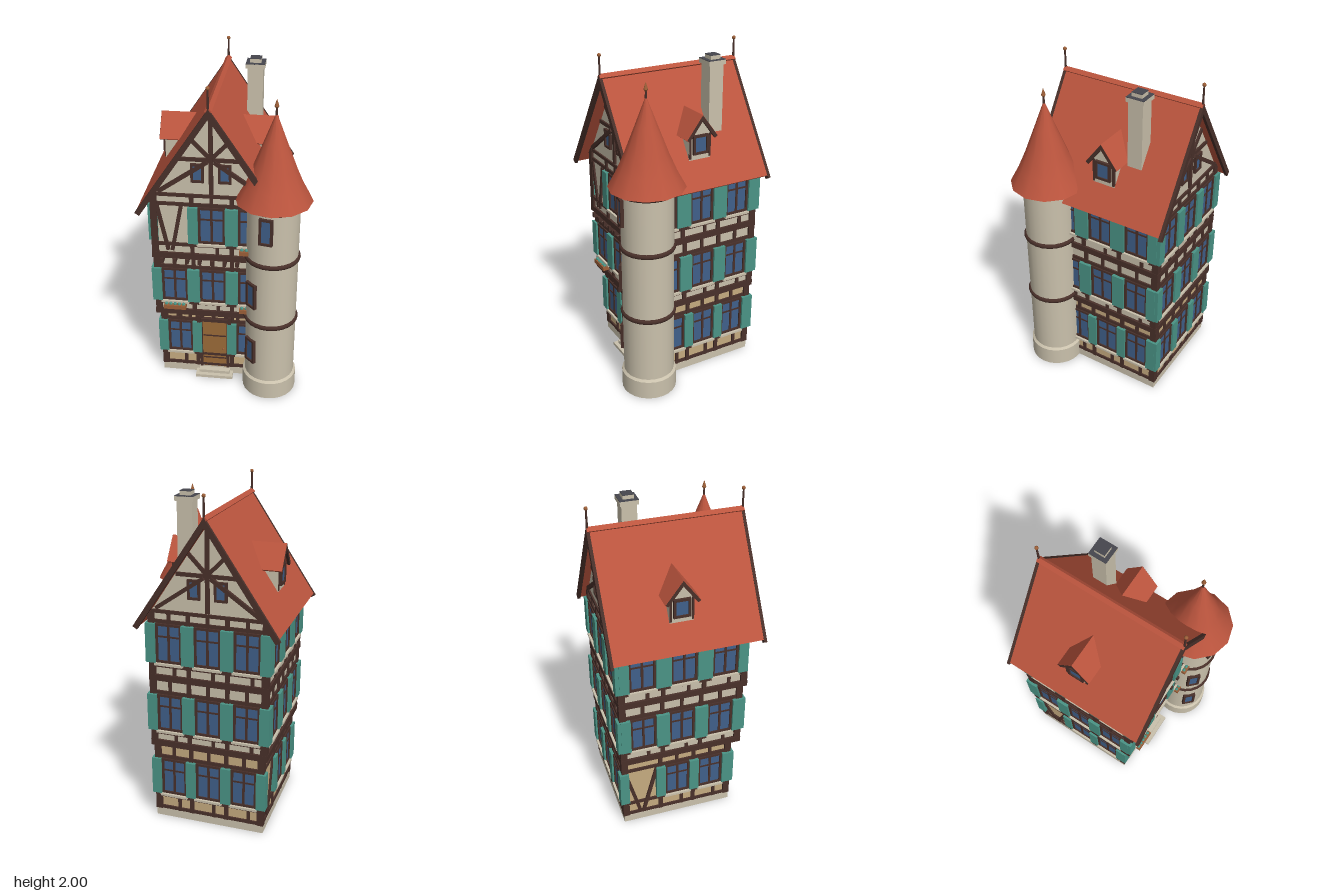
import * as THREE from 'three';

const mat = (name, color) => Object.assign(new THREE.MeshStandardMaterial({ color }), { name });
const M = {
  roof: mat('roof tile red', 0xbc553e), plaster: mat('cream plaster', 0xc9c0ab),
  stone: mat('stone', 0xcac1ac), tan: mat('tan plaster', 0xc6ab80),
  timber: mat('dark timber', 0x49302a), shutter: mat('shutter green', 0x4a9486),
  glass: mat('window blue', 0x40608a), door: mat('door brown', 0x9a6a38),
  slate: mat('slate', 0x46464e), copper: mat('copper', 0x9c5f38),
};
M.stone.side = THREE.DoubleSide; // the tower is open underneath

function add(g, name, geo, m, x = 0, y = 0, z = 0) {
  const mesh = new THREE.Mesh(geo, m);
  mesh.name = name;
  mesh.position.set(x, y, z);
  g.add(mesh);
  return mesh;
}
const box = (g, name, m, w, h, d, x, y, z) => add(g, name, new THREE.BoxGeometry(w, h, d), m, x, y, z);
const cyl = (g, name, m, r0, r1, h, n, y, open = false) =>
  add(g, name, new THREE.CylinderGeometry(r1, r0, h, n, 1, open), m, 0, y, 0);
function group(parent, name, rotY = 0, x = 0, y = 0, z = 0) {
  const g = new THREE.Group();
  g.name = name;
  g.rotation.y = rotY;
  g.position.set(x, y, z);
  parent.add(g);
  return g;
}
// slanted timber between two points of a wall
function brace(g, x1, y1, x2, y2, z) {
  const b = box(g, 'brace', M.timber, Math.hypot(x2 - x1, y2 - y1), 0.022, 0.022, (x1 + x2) / 2, (y1 + y2) / 2, z);
  b.rotation.z = Math.atan2(y2 - y1, x2 - x1);
}
// polygon extruded from z0 to z1
function prism(g, name, m, pts, z0, z1) {
  const s = new THREE.Shape(pts.map(p => new THREE.Vector2(...p)));
  add(g, name, new THREE.ExtrudeGeometry(s, { depth: z1 - z0, bevelEnabled: false }), m, 0, 0, z0);
}
// pitched roof shell: top height, half width, slope, thickness
function pitched(g, name, m, top, half, slope, t, z0, z1) {
  const L = Math.hypot(1, slope), y = top - slope * half;
  const ix = half - t * slope / L, iy = y - t / L;
  prism(g, name, m, [[0, top], [-half, y], [-ix, iy], [0, top - t * L], [ix, iy], [half, y]], z0, z1);
}
// framed window, lying on the plane at z
function windowUnit(parent, x, y0, y1, w, z, bars = true) {
  const g = group(parent, 'window', 0, x, (y0 + y1) / 2, z), h = y1 - y0, f = 0.014;
  box(g, 'glass', M.glass, w - f, h - f, 0.016, 0, 0, 0);
  for (const s of [-1, 1]) {
    box(g, 'frameSide', M.timber, f, h, 0.032, s * (w - f) / 2, 0, 0);
    box(g, 'frameRail', M.timber, w, f, 0.032, 0, s * (h - f) / 2, 0);
  }
  if (!bars) return;
  box(g, 'mullion', M.timber, 0.014, h, 0.026, 0, 0, 0);
  box(g, 'transom', M.timber, w, 0.01, 0.024, 0, h * 0.17, 0);
}

function door(parent, z, y0) {
  const g = group(parent, 'door', 0, 0, y0, z);
  box(g, 'doorLeaf', M.door, 0.155, 0.36, 0.02, 0, 0.18, 0);
  for (const s of [-1, 1]) {
    box(g, 'doorPost', M.timber, 0.016, 0.375, 0.04, s * 0.084, 0.187, 0);
    box(g, 'postFoot', M.timber, 0.024, 0.02, 0.05, s * 0.084, 0.1, 0);
    box(g, 'canopyBracket', M.timber, 0.022, 0.05, 0.06, s * 0.095, 0.385, 0.01);
  }
  box(g, 'lintel', M.timber, 0.2, 0.022, 0.045, 0, 0.368, 0);
  for (const y of [0.07, 0.245]) box(g, 'hinge', M.timber, 0.145, 0.009, 0.026, 0, y, 0);
  add(g, 'knob', new THREE.SphereGeometry(0.007, 8, 6), M.copper, 0.055, 0.145, 0.014);
}

// one storey of one wall, seen from outside with the wall plane at z = d;
// a number among the bays is the half width of a V of braces
function facade(parent, lv, half, d, pitch, bays, boxes = []) {
  const g = group(parent, 'facade');
  const rails = [lv.w0 - 0.02, lv.w1 + 0.012];
  if (lv.sole) rails.push(lv.y0 + 0.012);
  if (lv.plate) rails.push(lv.y1 - 0.01);
  for (const y of rails) box(g, 'rail', M.timber, half * 2, 0.02, 0.02, 0, y, d);
  const h = lv.y1 - lv.y0, mid = (lv.y0 + lv.y1) / 2;
  for (const s of [-1, 1]) {
    box(g, 'cornerPost', M.timber, 0.04, h, 0.026, s * (half - 0.007), mid, d);
    box(g, 'stud', M.timber, 0.024, h, 0.022, s * pitch / 2, mid, d);
  }
  bays.forEach((type, i) => {
    const x = (i - 1) * pitch;
    if (typeof type === 'number') {
      for (const s of [-1, 1]) brace(g, x - 0.015 + s * type, lv.w1, x - 0.015 + s * 0.012, lv.y0 + 0.02, d);
      return;
    }
    if (type === 'door') return door(g, d, lv.y0);
    windowUnit(g, x, lv.w0, lv.w1, 0.156, d);
    box(g, 'sill', M.stone, 0.17, 0.014, 0.06, x, lv.w0 - 0.007, d);
    for (const s of [-1, 1])
      box(g, 'shutter', M.shutter, 0.058, lv.w1 - lv.w0, 0.056, x + s * 0.107, (lv.w0 + lv.w1) / 2, d);
    box(g, 'lowerStud', M.timber, 0.02, lv.w0 - lv.y0, 0.02, x + 0.03, (lv.w0 + lv.y0) / 2, d);
    box(g, 'upperStud', M.timber, 0.02, lv.y1 - lv.w1, 0.02, x, (lv.w1 + lv.y1) / 2, d);
    if (!boxes.includes(i)) return;
    box(g, 'flowerBox', M.copper, 0.135, 0.026, 0.04, x, lv.w0 - 0.03, d + 0.035);
    for (let k = -2; k <= 2; k++)
      add(g, 'plant', new THREE.IcosahedronGeometry(0.012, 0), M.shutter, x + k * 0.026, lv.w0 - 0.014, d + 0.038);
  });
}

function finial(parent, x, y, z, h) {
  const g = group(parent, 'finial', 0, x, y, z);
  cyl(g, 'pole', M.timber, 0.007, 0.005, h, 8, h / 2);
  return g;
}

function gable(parent, hd) {
  prism(parent, 'gableWall', M.plaster, [[-0.335, 1.32], [0.335, 1.32], [0, 1.835]], -hd, hd);
  for (const r of [0, Math.PI]) {
    const q = group(parent, 'gableTimber', r);
    box(q, 'kingPost', M.timber, 0.024, 0.48, 0.024, 0, 1.58, hd);
    box(q, 'collarBeam', M.timber, 0.36, 0.022, 0.022, 0, 1.55, hd);
    for (const s of [-1, 1]) {
      windowUnit(q, s * 0.077, 1.412, 1.525, 0.074, hd, false);
      brace(q, s * 0.3, 1.345, s * 0.02, 1.54, hd + 0.008);
      brace(q, s * 0.01, 1.565, s * 0.11, 1.67, hd);
    }
  }
}

function house(root) {
  const g = group(root, 'house', 0, -0.075, 0, -0.06), W = 'window', all = [W, W, W];
  box(g, 'foundation', M.stone, 0.67, 0.05, 0.69, 0, 0.025, -0.045);
  box(g, 'lowerStep', M.stone, 0.235, 0.02, 0.1, 0, 0.01, 0.312);
  box(g, 'upperStep', M.stone, 0.195, 0.02, 0.07, 0, 0.03, 0.302);
  // storeys, each jettied forward over the one below; z is the storey's middle
  const levels = [
    { y0: 0.05, y1: 0.49, w0: 0.165, w1: 0.4, hw: 0.325, hd: 0.337, z: -0.046, m: M.tan, sole: true,
      px: 0.216, pz: 0.213, front: [W, 'door', W], right: [0.1, W, W] },
    { y0: 0.515, y1: 0.91, w0: 0.592, w1: 0.82, hw: 0.341, hd: 0.364, z: -0.023, m: M.plaster,
      px: 0.23, pz: 0.236, front: all, right: all, boxes: [0, 2] },
    { y0: 0.94, y1: 1.335, w0: 1.02, w1: 1.255, hw: 0.341, hd: 0.376, z: -0.012, m: M.plaster, plate: true,
      px: 0.23, pz: 0.246, front: [0.07, W, W], right: all, boxes: [2] },
  ];
  levels.forEach((lv, i) => {
    const s = group(g, 'storey', 0, 0, 0, lv.z), next = levels[i + 1];
    box(s, 'storeyWall', lv.m, lv.hw * 2, lv.y1 - lv.y0 + 0.01, lv.hd * 2, 0, (lv.y0 + lv.y1) / 2, 0);
    facade(s, lv, lv.hw, lv.hd, lv.px, lv.front, lv.boxes);
    facade(group(s, 'backSide', Math.PI), lv, lv.hw, lv.hd, lv.px, all);
    facade(group(s, 'leftSide', Math.PI / 2), lv, lv.hd, lv.hw, lv.pz, all);
    facade(group(s, 'rightSide', -Math.PI / 2), lv, lv.hd, lv.hw, lv.pz, lv.right);
    if (!next) return gable(s, lv.hd);
    // storey band with joist ends beneath it
    box(g, 'storeyBand', M.timber, 0.712, 0.038, next.hd * 2 + 0.028, 0, lv.y1 + 0.014, next.z);
    for (let k = 0; k < 9; k++)
      box(s, 'joistEnd', M.timber, 0.02, 0.03, 0.1, -0.296 + k * 0.074, lv.y1 - 0.018, lv.hd);
  });
  // main roof
  pitched(g, 'roof', M.roof, 1.874, 0.415, 1.5, 0.026, -0.432, 0.436);
  for (const z of [-0.448, 0.435]) pitched(g, 'vergeBoard', M.timber, 1.877, 0.425, 1.5, 0.031, z, z + 0.018);
  pitched(g, 'ridgeCap', M.roof, 1.885, 0.02, 1, 0.02, -0.445, 0.45);
  for (const z of [-0.44, 0.445]) {
    const f = finial(g, 0, 1.86, z, 0.125);
    add(f, 'finialBall', new THREE.SphereGeometry(0.011, 10, 8), M.copper, 0, 0.129, 0);
  }
  // dormers
  for (const s of [-1, 1]) {
    const d = group(g, 'dormer', s * Math.PI / 2, 0, 0, -0.017);
    prism(d, 'dormerWall', M.plaster, [[-0.07, 1.36], [0.07, 1.36], [0.07, 1.55], [0, 1.64], [-0.07, 1.55]], 0.14, 0.315);
    pitched(d, 'dormerRoof', M.roof, 1.67, 0.102, 1.33, 0.014, 0.1, 0.342);
    pitched(d, 'dormerVerge', M.timber, 1.668, 0.1, 1.33, 0.02, 0.328, 0.343);
    windowUnit(d, 0, 1.435, 1.55, 0.1, 0.315, false);
    for (const e of [-1, 1]) box(d, 'dormerPost', M.timber, 0.012, 0.14, 0.016, e * 0.064, 1.48, 0.312);
  }
}

function chimney(root) {
  const g = group(root, 'chimney', 0, 0.118, 0, -0.228);
  box(g, 'stack', M.stone, 0.09, 0.45, 0.09, 0, 1.69, 0);
  for (const [w, y] of [[0.11, 1.923], [0.064, 1.948]]) {
    box(g, 'cap', M.stone, w, 0.026, w, 0, y, 0);
    box(g, 'capTop', M.slate, w, 0.004, w, 0, y + 0.014, 0);
  }
}

function tower(root) {
  const g = group(root, 'tower', 0, 0.275, 0, 0.285);
  cyl(g, 'shaft', M.stone, 0.152, 0.152, 1.19, 24, 0.715, true);
  cyl(g, 'base', M.stone, 0.166, 0.166, 0.115, 24, 0.0575, true);
  cyl(g, 'baseChamfer', M.stone, 0.166, 0.152, 0.012, 24, 0.121, true);
  for (const [r, y] of [[0.149, 0.532], [0.149, 0.957], [0.16, 1.306]]) {
    const t = add(g, 'band', new THREE.TorusGeometry(r, 0.016, 8, 24), M.timber, 0, y, 0);
    t.rotation.x = Math.PI / 2;
  }
  cyl(g, 'eavesSoffit', M.timber, 0.18, 0.214, 0.014, 12, 1.316);
  const profile = [[0.22, 1.321], [0.166, 1.42], [0.122, 1.52], [0.062, 1.675], [0.003, 1.83]];
  add(g, 'coneRoof', new THREE.LatheGeometry(profile.map(p => new THREE.Vector2(...p)), 12), M.roof);
  const f = finial(g, 0, 1.79, 0, 0.09);
  cyl(f, 'finialTip', M.copper, 0.013, 0.001, 0.038, 8, 0.1);
  cyl(f, 'finialCollar', M.copper, 0.005, 0.013, 0.012, 8, 0.075);
  for (const [a, y] of [[-0.2, 1.19], [-0.79, 0.735], [-0.79, 0.33]])
    windowUnit(group(g, 'towerWindow', a), 0, y - 0.083, y + 0.083, 0.08, 0.15, false);
}

export function createModel() {
  const root = new THREE.Group();
  root.name = 'timberFramedTownHouse';
  house(root);
  chimney(root);
  tower(root);
  return root;
}
